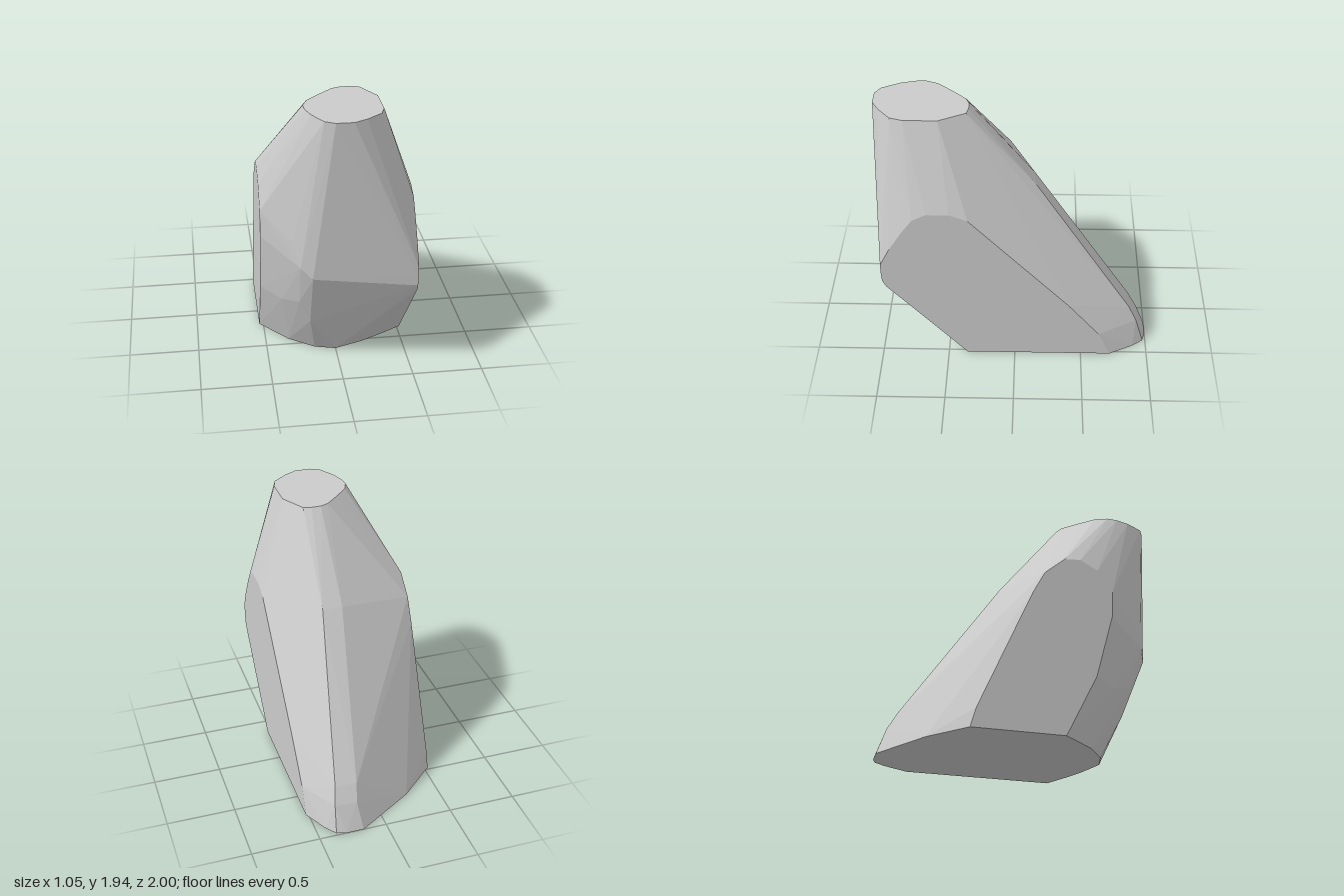
import * as THREE from 'three';
import { ConvexGeometry } from 'three/addons/geometries/ConvexGeometry.js';

// Flat outlines lie in a plane: horizontal ones list (x, z), side ones list (z, y)
const level = (y, pairs) => pairs.map(([x, z]) => new THREE.Vector3(x, y, z));
const side = (x, pairs) => pairs.map(([z, y]) => new THREE.Vector3(x, y, z));

export function createModel() {
  const group = new THREE.Group();
  group.name = 'cutStone';

  // flat top
  const top = level(1.94, [
    [-0.235, 0.65], [-0.23, 0.73], [-0.2, 0.83], [-0.13, 0.96], [-0.06, 1], [0.06, 1],
    [0.15, 0.95], [0.26, 0.86], [0.29, 0.77], [0.29, 0.53], [0.19, 0.34], [0.13, 0.325],
    [0.06, 0.325], [0, 0.35], [-0.1, 0.45], [-0.2, 0.56],
  ]);

  // flat base
  const base = level(0, [
    [0.52, 0.36], [0.36, 0.45], [0.2, 0.53], [0, 0.6], [-0.15, 0.56], [-0.33, 0.43],
    [-0.53, 0.19], [-0.53, -0.48], [-0.26, -0.73], [0.17, -1], [0.3, -1], [0.37, -0.98],
    [0.43, -0.9], [0.52, -0.72],
  ]);

  // large flat cut on the left
  const leftCut = side(0.52, [
    [0.94, 0.65], [0.965, 0.7], [0.97, 0.76], [0.97, 0.85], [0.9, 0.99], [0.8, 1.15],
    [0.72, 1.26], [0.62, 1.31], [0.46, 1.31], [0.33, 1.26], [0.22, 1.13], [-0.4, 0.48],
    [-0.63, 0.2],
  ]);

  // narrower flat cut on the right
  const rightCut = side(-0.53, [
    [0.42, 0.46], [0.55, 0.94], [0.56, 1.14], [0.45, 1.3], [0.32, 1.37], [0.2, 1.36],
    [0.05, 1.23], [-0.04, 1.06], [-0.44, 0.14],
  ]);

  // corners of the rounded front edge and of the sloping back
  const corners = [
    [-0.33, 1, 0.8], [-0.28, 0.83, 0.86], [-0.2, 0.76, 0.9], [-0.28, 0.5, 0.745],
    [-0.2, 0.32, 0.72], [-0.39, 0.45, 0.6],
    [0.05, 1.35, -0.14], [0.2, 1.35, -0.15], [0.18, 0.32, -0.86], [0.34, 0.32, -0.86],
    [0.2, 0.2, -0.93], [0.36, 0.2, -0.92],
  ].map((p) => new THREE.Vector3(...p));

  const stone = new THREE.Mesh(
    new ConvexGeometry([...top, ...base, ...leftCut, ...rightCut, ...corners]),
    new THREE.MeshStandardMaterial({ color: 0xcccccc, flatShading: true })
  );
  stone.name = 'stone';
  group.add(stone);
  return group;
}
